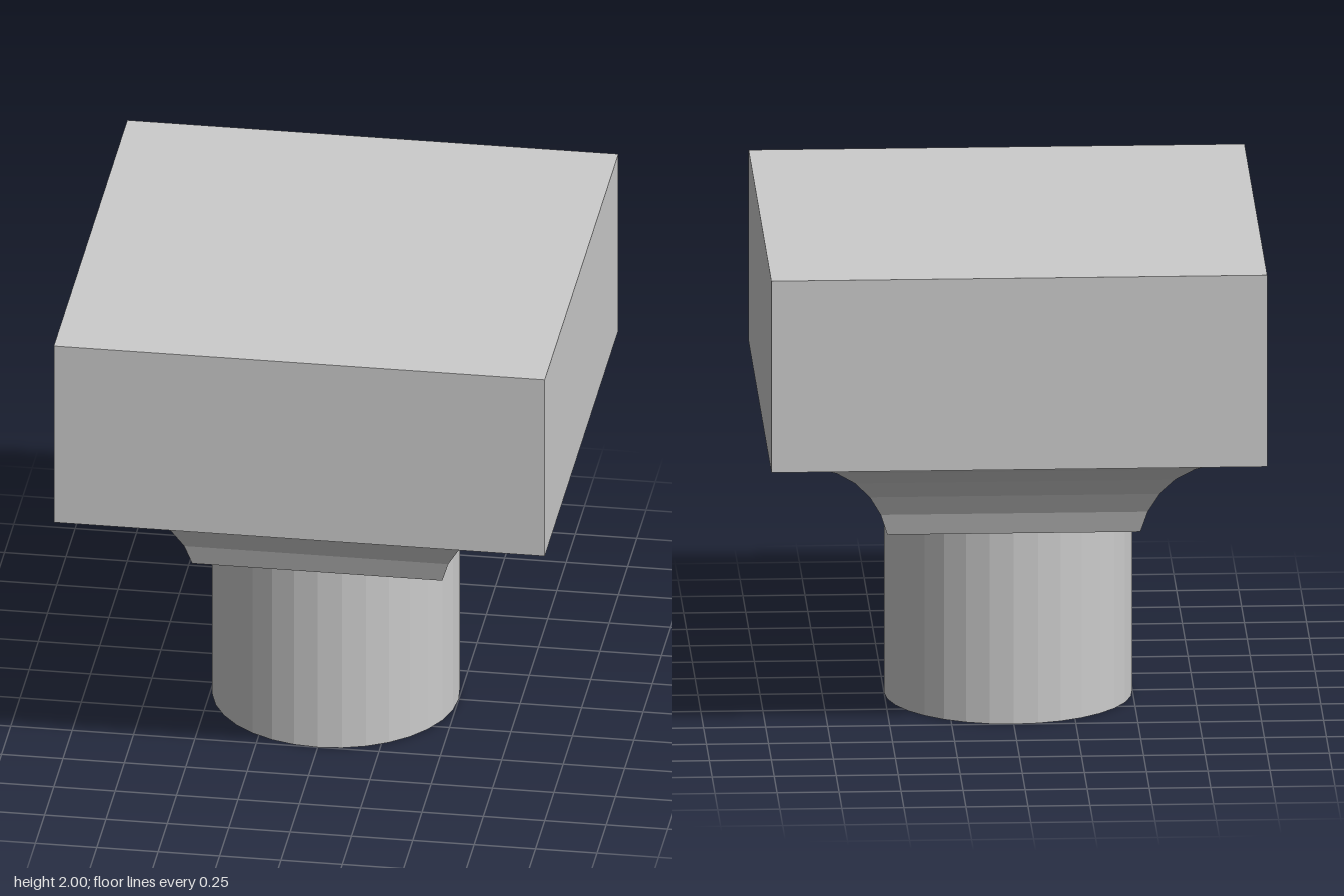
import * as THREE from 'three';

const material = new THREE.MeshStandardMaterial({ color: 0xcccccc, flatShading: true });

function addPart(group, name, geometry, y = 0) {
  const mesh = new THREE.Mesh(geometry, material);
  mesh.name = name;
  mesh.position.y = y;
  group.add(mesh);
}

// Square flare with mitred corners: a four-sided lathe over a concave quarter arc
function flareGeometry() {
  const radius = 0.5, arcCentreY = 0.7, steps = 8, bottom = 0.8;
  const profile = [new THREE.Vector2(0, bottom)];
  for (let i = 1; i <= steps; i++) {
    const a = (i / steps) * Math.PI / 2;
    const halfWidth = 1 - radius * Math.cos(a);
    const y = i === 1 ? bottom : arcCentreY + radius * Math.sin(a);
    profile.push(new THREE.Vector2(halfWidth * Math.SQRT2, y));
  }
  return new THREE.LatheGeometry(profile, 4, Math.PI / 4);
}

export function createModel() {
  const group = new THREE.Group();
  group.name = 'pedestal';

  // Round post, square flare and block on top
  addPart(group, 'post', new THREE.CylinderGeometry(0.5, 0.5, 0.8, 32), 0.4);
  addPart(group, 'flare', flareGeometry());
  addPart(group, 'block', new THREE.BoxGeometry(2, 0.8, 2), 1.6);

  return group;
}
